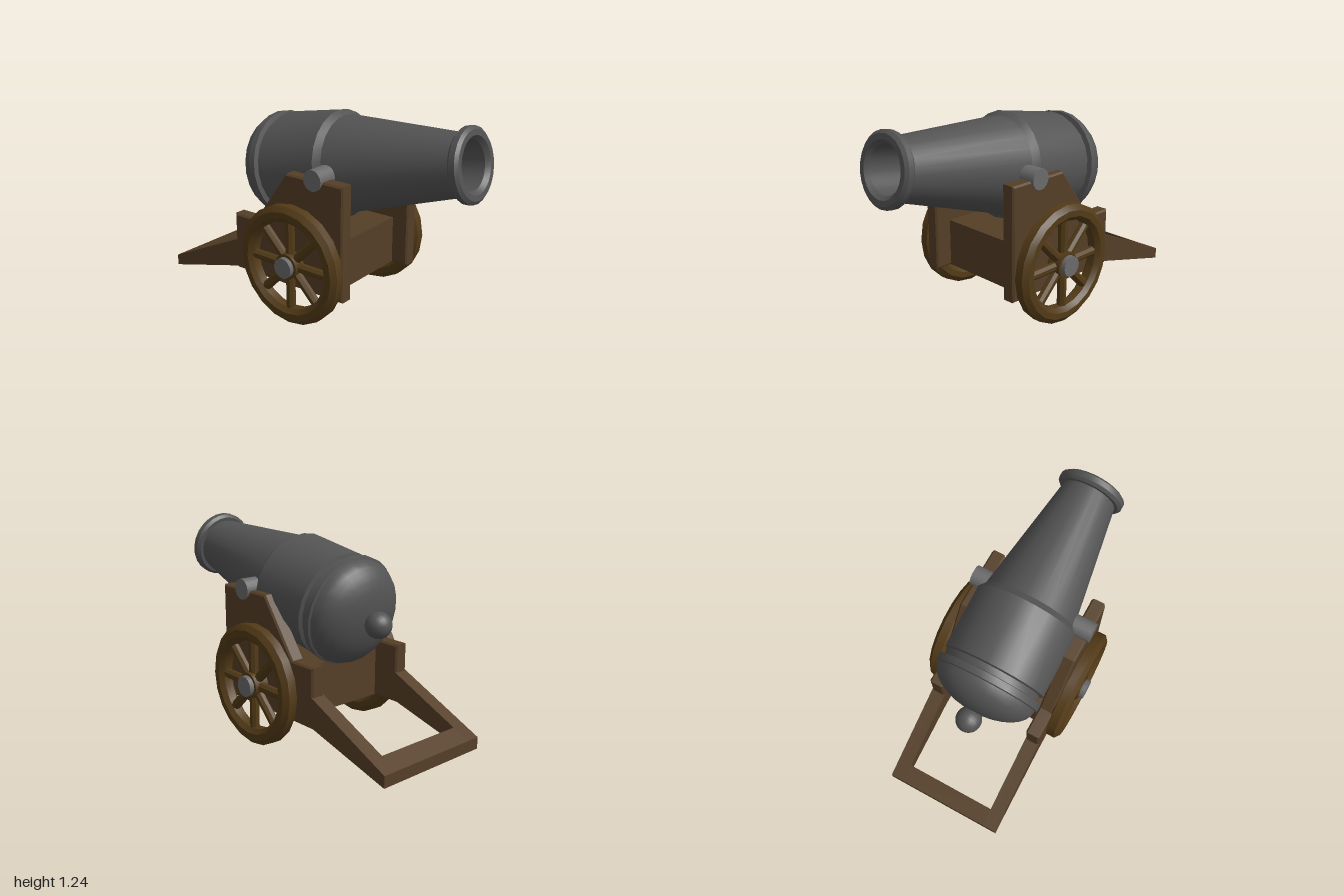
import * as THREE from 'three';
import { toCreasedNormals } from 'three/addons/utils/BufferGeometryUtils.js';

const paint = (color) => new THREE.MeshStandardMaterial({ color });
const iron = paint(0x545353);
const steel = paint(0x6a6a6a);
const wood = paint(0x553f27);
const wheelWood = paint(0x523a17);

function add(parent, name, geometry, material) {
  const mesh = new THREE.Mesh(geometry, material);
  mesh.name = name;
  parent.add(mesh);
  return mesh;
}

// Surface of revolution about y with sharp edges kept
function lathe(points, sides) {
  const profile = points.map(([r, y]) => new THREE.Vector2(r, y));
  return toCreasedNormals(new THREE.LatheGeometry(profile, sides), 0.45);
}

// Side profile of [z, y] points, extruded from x0 to x1
function slab(points, x0, x1, bevel = 0) {
  const shape = new THREE.Shape(points.map(([z, y]) => new THREE.Vector2(z, y)));
  const geometry = new THREE.ExtrudeGeometry(shape, {
    depth: x1 - x0 - 2 * bevel, bevelEnabled: bevel > 0, bevelSize: bevel,
    bevelOffset: -bevel, bevelThickness: bevel, bevelSegments: 1,
  });
  return geometry.rotateY(-Math.PI / 2).translate(x1 - bevel, 0, 0);
}

// Cylinder lying along x
function rod(radius, x0, x1, sides = 16) {
  return new THREE.CylinderGeometry(radius, radius, x1 - x0, sides)
    .rotateZ(Math.PI / 2).translate((x0 + x1) / 2, 0, 0);
}

function createBarrel() {
  const barrel = new THREE.Group();
  barrel.name = 'barrel';

  // Rounded breech, then body, taper, muzzle ring and bore
  const profile = [];
  for (let i = 0; i <= 8; i++) {
    const a = (i / 8) * Math.PI / 2;
    profile.push([0.312 * Math.sin(a), -1.345 - 0.165 * Math.cos(a)]);
  }
  profile.push(
    [0.325, -1.34], [0.325, -1.3], [0.295, -1.295], [0.295, -1.257],
    [0.318, -1.25], [0.318, -0.856], [0.288, -0.818], [0.17, -0.065],
    [0.192, -0.065], [0.209, -0.048], [0.209, -0.015], [0.19, 0],
    [0.158, 0], [0.136, -0.025], [0.134, -1.25], [0, -1.28],
  );
  add(barrel, 'gunTube', lathe(profile, 24), iron);
  add(barrel, 'breechKnob', new THREE.SphereGeometry(0.077, 20, 14), iron)
    .position.y = -1.558;

  // Muzzle is raised ten degrees
  barrel.rotation.x = THREE.MathUtils.degToRad(80);
  barrel.position.set(0, 1.044, 0.957);
  return barrel;
}

function createWheel(name) {
  const wheel = new THREE.Group();
  wheel.name = name;

  // Rim with chamfered edges
  const rim = lathe([
    [0.268, -0.026], [0.295, -0.051], [0.332, -0.051], [0.363, -0.026],
    [0.363, 0.026], [0.332, 0.051], [0.295, 0.051], [0.268, 0.026], [0.268, -0.026],
  ], 20);
  add(wheel, 'rim', rim.rotateZ(Math.PI / 2), wheelWood);
  add(wheel, 'hub', rod(0.078, -0.045, 0.045), wheelWood);

  // Eight spokes
  for (let i = 0; i < 8; i++) {
    const spoke = new THREE.CylinderGeometry(0.029, 0.029, 0.24, 8, 1, true)
      .rotateY(Math.PI / 8).translate(0, 0.17, 0);
    add(wheel, 'spoke', toCreasedNormals(spoke, 0.4), wheelWood)
      .rotation.x = i * Math.PI / 4;
  }
  return wheel;
}

function createCarriage() {
  const carriage = new THREE.Group();
  carriage.name = 'carriage';

  const cheek = [
    [0.375, 0.21], [0.375, 0.9], [-0.027, 0.9], [-0.27, 0.567],
    [-0.442, 0.567], [-0.442, 0.21],
  ].reverse();
  const arm = [[-0.43, 0.4], [-0.43, 0.222], [-1, 0.07], [-1, 0.14]].reverse();
  const sides = [['right', -0.385, -0.298], ['left', 0.277, 0.365]];
  for (const [side, x0, x1] of sides) {
    add(carriage, side + 'Cheek', slab(cheek, x0, x1, 0.01), wood);
    add(carriage, side + 'TrailArm', slab(arm, x0, x1), wood);
  }

  // Cross pieces between the two sides
  const crossbar = [[-0.895, 0.188], [-0.895, 0.098], [-1, 0.07], [-1, 0.14]].reverse();
  add(carriage, 'trailCrossbar', slab(crossbar, -0.298, 0.277), wood);
  add(carriage, 'transom', new THREE.BoxGeometry(0.585, 0.296, 0.535), wood)
    .position.set(-0.01, 0.36, 0);
  return carriage;
}

export function createModel() {
  const cannon = new THREE.Group();
  cannon.name = 'cannon';
  cannon.add(createBarrel(), createCarriage());

  // Trunnions resting on the cheeks
  for (const [name, x0, x1] of [['rightTrunnion', -0.4, -0.22], ['leftTrunnion', 0.22, 0.38]]) {
    add(cannon, name, rod(0.062, x0, x1), steel).position.set(0, 0.903, 0.176);
  }

  // Wheels on a shared axle
  for (const [name, x] of [['rightWheel', -0.413], ['leftWheel', 0.413]]) {
    const wheel = createWheel(name);
    wheel.position.set(x, 0.366, 0.023);
    cannon.add(wheel);
  }
  add(cannon, 'axle', rod(0.062, -0.487, 0.487), steel).position.set(0, 0.366, 0.023);
  return cannon;
}
